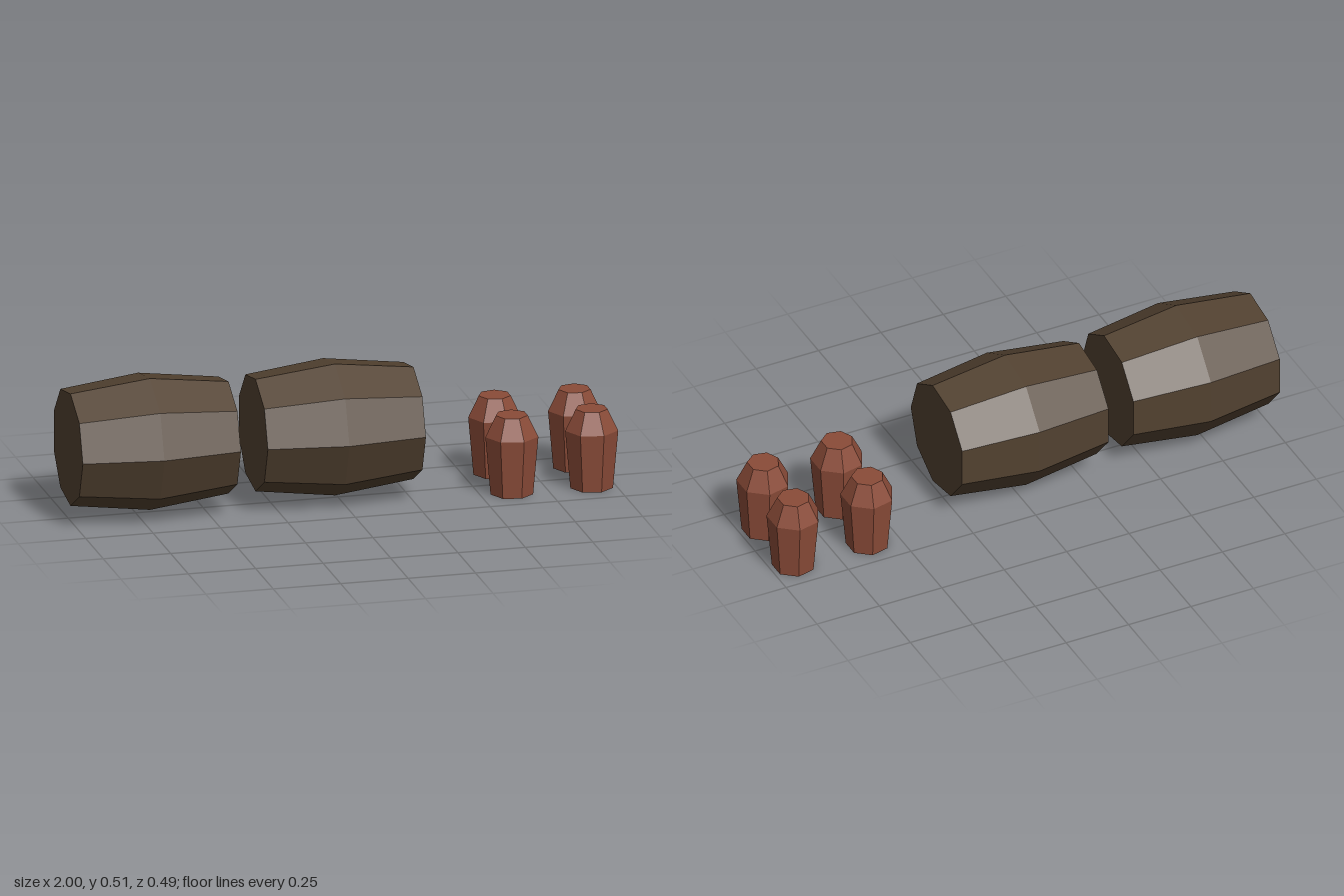
import * as THREE from 'three';

const barrelWood = new THREE.MeshStandardMaterial({ color: 0x524130, flatShading: true });
barrelWood.name = 'dark barrel wood';
const kegWood = new THREE.MeshStandardMaterial({ color: 0x8a4b38, flatShading: true });
kegWood.name = 'red keg wood';

// Closed faceted cask around the y axis; profile rows are [radius, height]
function caskGeometry(profile, sides, startAngle) {
  const points = profile.map(([r, y]) => new THREE.Vector2(r, y));
  return new THREE.LatheGeometry(points, sides, startAngle).toNonIndexed();
}

export function createModel() {
  const model = new THREE.Group();
  model.name = 'barrelsAndKegs';

  // Two large barrels lying end to end along x
  const half = 0.293;
  const barrel = caskGeometry(
    [[0, -half], [0.214, -half], [0.251, 0], [0.214, half], [0, half]], 9, 0);
  barrel.rotateZ(-Math.PI / 2);
  [-0.707, -0.021].forEach((x, i) => {
    const mesh = new THREE.Mesh(barrel, barrelWood);
    mesh.name = `lyingBarrel${i + 1}`;
    mesh.position.set(x, 0.267, -0.004);
    model.add(mesh);
  });

  // Four small kegs standing in a square
  const keg = caskGeometry(
    [[0, 0], [0.0785, 0], [0.0977, 0.217], [0.059, 0.295], [0, 0.295]], 7, -Math.PI / 2);
  let count = 0;
  for (const x of [0.616, 0.912]) {
    for (const z of [0.11, -0.134]) {
      const mesh = new THREE.Mesh(keg, kegWood);
      mesh.name = `standingKeg${++count}`;
      mesh.position.set(x, 0, z);
      model.add(mesh);
    }
  }

  return model;
}
